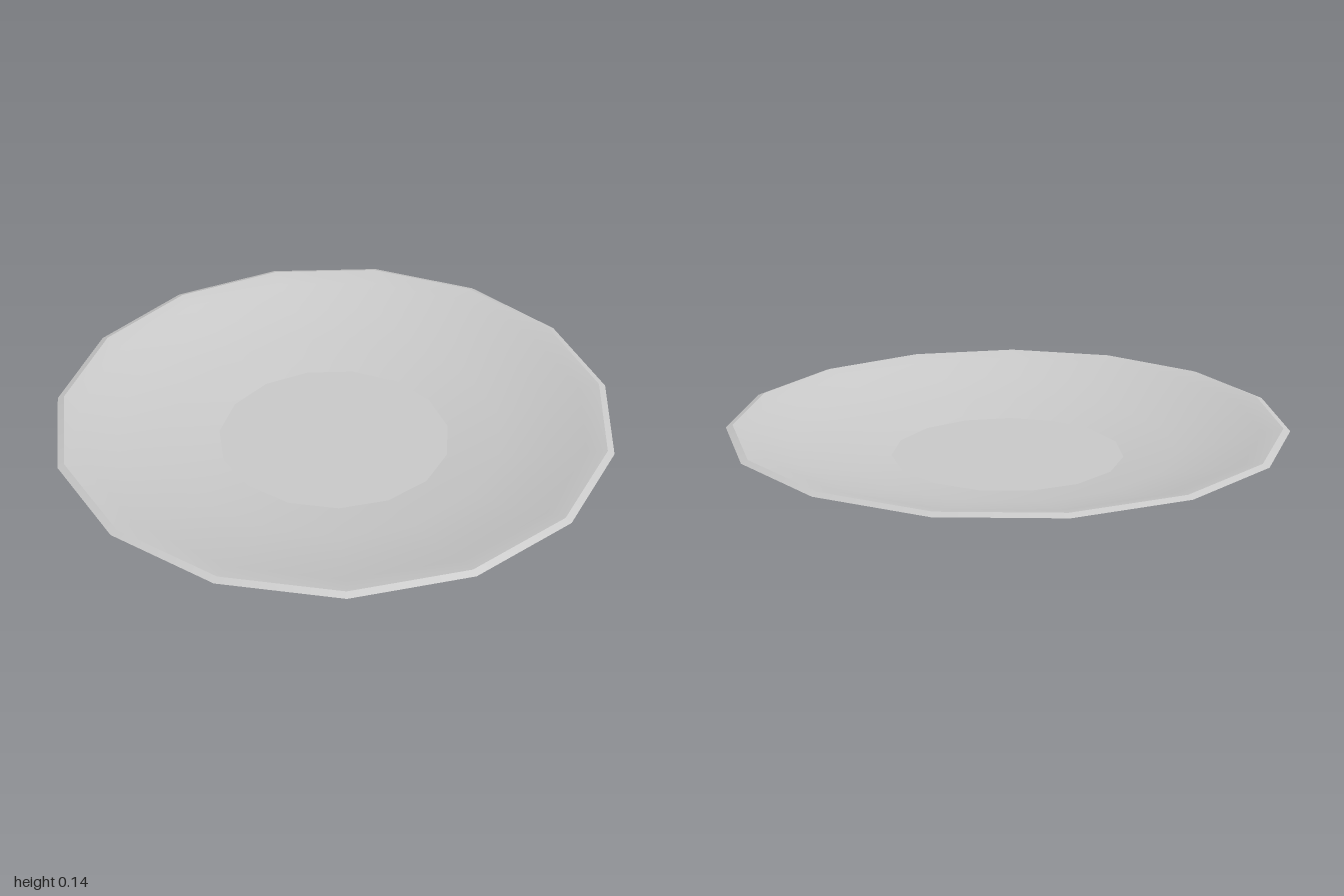
import * as THREE from 'three';

const SIDES = 15;

// One smooth band of the plate; separate bands meet in a sharp edge.
function band(name, profile, material) {
  const points = profile.map(([r, y]) => new THREE.Vector2(r, y));
  const mesh = new THREE.Mesh(new THREE.LatheGeometry(points, SIDES, Math.PI / 2), material);
  mesh.name = name;
  return mesh;
}

export function createModel() {
  const plate = new THREE.Group();
  plate.name = 'plate';

  const ceramic = new THREE.MeshStandardMaterial({ color: 0xc8c8c8 });
  ceramic.name = 'pale grey ceramic';

  // Profiles run from the foot outwards, over the rim and back to the middle
  plate.add(
    band('foot', [[0, 0], [0.425, 0]], ceramic),
    band('underside', [[0.425, 0], [0.62, 0.03], [0.8, 0.07], [0.92, 0.112], [1.005, 0.13]], ceramic),
    band('rim', [[1.005, 0.13], [0.981, 0.139]], ceramic),
    band('bowl', [[0.981, 0.139], [0.91, 0.122], [0.79, 0.079], [0.61, 0.039], [0.42, 0.01]], ceramic),
    band('well', [[0.42, 0.01], [0, 0.01]], ceramic),
  );

  // An odd number of sides is not symmetric in x, so centre its bounds
  plate.children.forEach((mesh) => { mesh.position.x = -0.011; });
  return plate;
}
